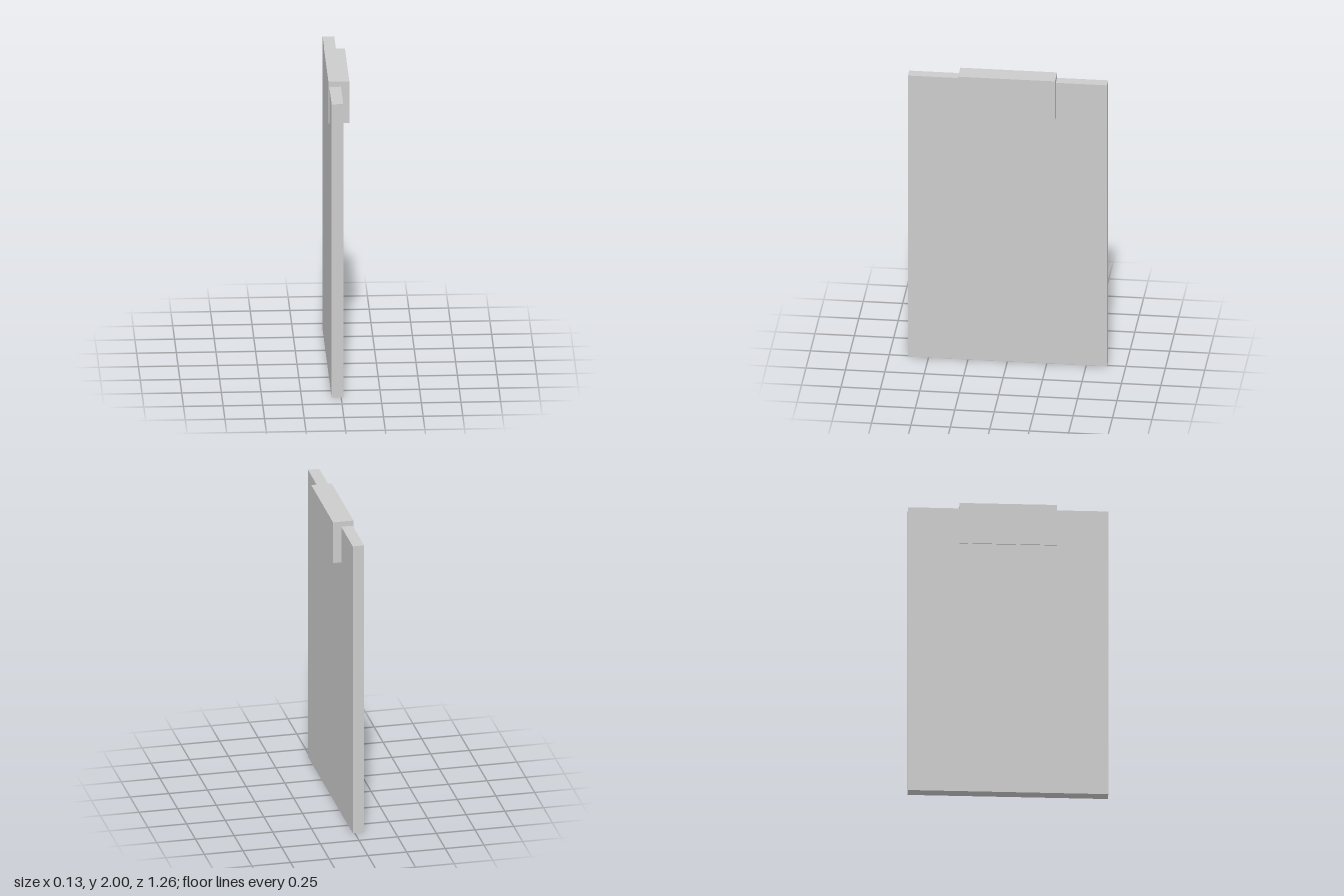
import * as THREE from 'three';

export function createModel() {
  const group = new THREE.Group();
  const material = new THREE.MeshStandardMaterial({ color: 0xcccccc, flatShading: true });

  // Box given by its lower and upper corners
  const addBox = (name, min, max) => {
    const size = max.map((v, i) => v - min[i]);
    const mesh = new THREE.Mesh(new THREE.BoxGeometry(...size), material);
    mesh.position.set(...max.map((v, i) => (v + min[i]) / 2));
    mesh.name = name;
    group.add(mesh);
  };

  // Thin upright board
  addBox('board', [-0.06, 0, -0.631], [0.013, 1.965, 0.631]);
  // Clip over the top edge, standing out on the +x side
  addBox('clip', [-0.066, 1.721, -0.307], [0.066, 2, 0.307]);

  return group;
}
